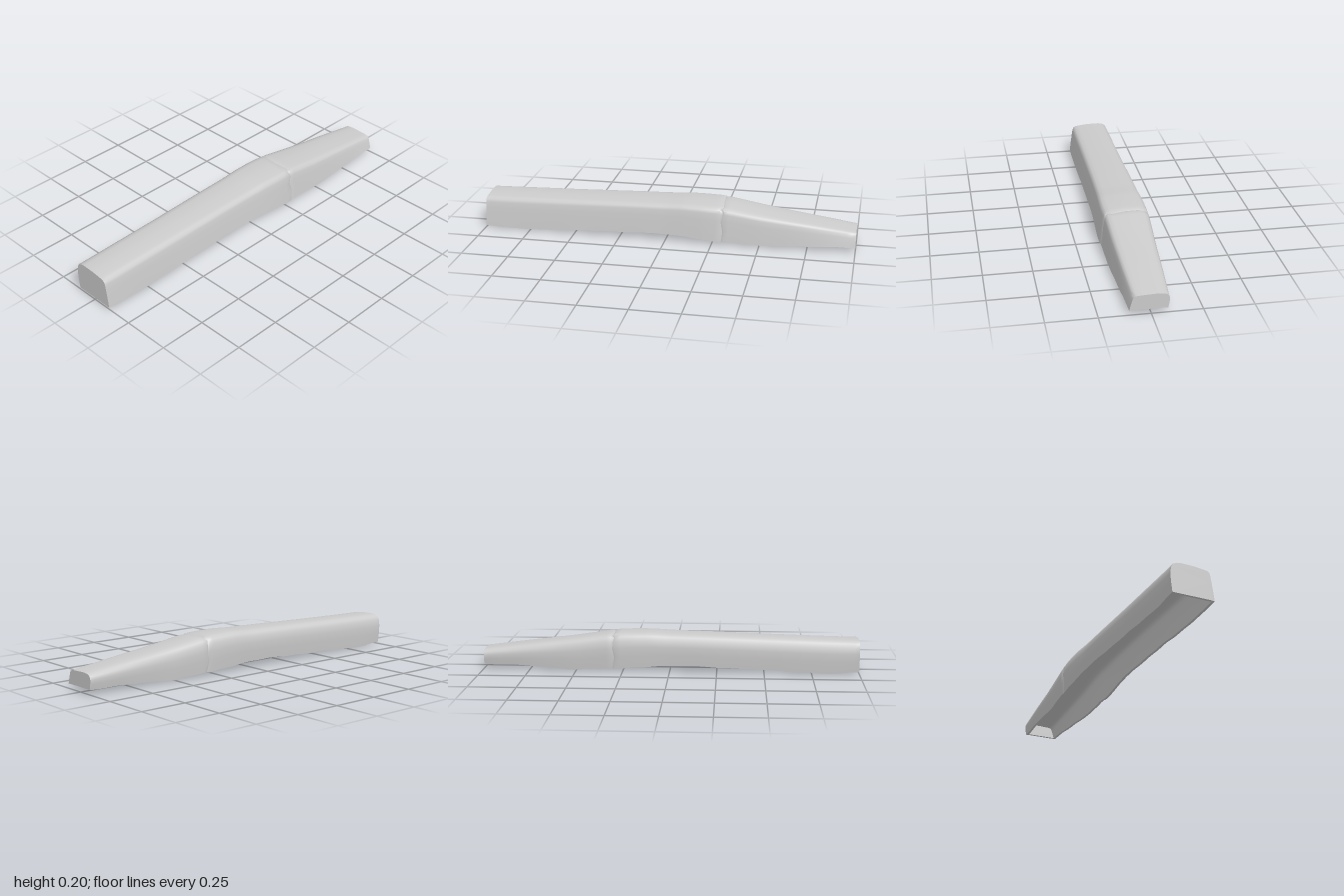
import * as THREE from 'three';
import { toCreasedNormals } from 'three/addons/utils/BufferGeometryUtils.js';

const WALL = 0.013;
const SEAM = 0.3;
const grey = new THREE.MeshStandardMaterial({ color: 0xcccccc });

// Cross-section stations: x, top y, rim y, front z, back z
const STATIONS = [
  [-1.0, 0.175, 0.012, 0.108, -0.122],
  [-0.9, 0.177, 0.003, 0.110, -0.123],
  [-0.7, 0.182, 0.008, 0.111, -0.124],
  [-0.5, 0.187, 0.018, 0.113, -0.124],
  [-0.2, 0.196, 0.032, 0.117, -0.126],
  [0.0, 0.201, 0.036, 0.121, -0.127],
  [0.1, 0.207, 0.031, 0.126, -0.130],
  [0.2, 0.206, 0.025, 0.129, -0.132],
  [0.27, 0.204, 0.014, 0.127, -0.131],
  [0.33, 0.197, 0.018, 0.124, -0.129],
  [0.5, 0.171, 0.006, 0.122, -0.119],
  [0.6, 0.157, 0.013, 0.119, -0.112],
  [0.75, 0.138, 0.021, 0.115, -0.104],
  [1.0, 0.105, 0.027, 0.105, -0.088],
];

function sample(x) {
  let k = 0;
  while (k < STATIONS.length - 2 && x > STATIONS[k + 1][0]) k++;
  const a = STATIONS[k], b = STATIONS[k + 1];
  const t = (x - a[0]) / (b[0] - a[0]);
  return a.map((v, i) => v + (b[i] - v) * t);
}

// Outer and inner arch at x, as [z, y] from the front rim over the top to the back rim
function section(x) {
  const [, top, bot, zf, zb] = sample(x);
  const h = top - bot, s = h / 0.17;
  const outer = [
    [zf, bot],
    [zf - 0.006, bot + 0.3 * h],
    [zf - 0.013, bot + 0.6 * h],
    [zf - 0.018, top - 0.036 * s],
    [zf - 0.023, top - 0.02 * s],
    [zf - 0.034, top - 0.011 * s],
    [zf - 0.055, top - 0.007 * s],
    [0, top - 0.001],
    [zb + 0.055, top],
    [zb + 0.032, top - 0.004 * s],
    [zb + 0.014, top - 0.014 * s],
    [zb + 0.004, top - 0.034 * s],
    [zb, bot + 0.6 * h],
    [zb + 0.002, bot + 0.35 * h],
    [zb + 0.008, bot],
  ];
  const mid = (zf + zb) / 2, half = (zf - zb) / 2;
  const shrink = (t) => outer.map(([z, y]) =>
    [mid + (z - mid) * (1 - t / half), bot + (y - bot) * (1 - t / h)]);
  // shallow V-groove where the two parts meet
  const groove = Math.abs(x - SEAM) < 0.001 ? 0.004 : 0;
  return { outer: groove ? shrink(groove) : outer, inner: shrink(WALL) };
}

// Uneven seam line, fading out along x
const seamShift = (x, j) =>
  Math.max(0, 1 - Math.abs(x - SEAM) / 0.03) * 0.007 * Math.sin(j * 2.3);

// Lofted thin shell through the given x positions, open underneath
function shell(name, xs) {
  const pos = [], index = [];
  let n = 0;
  xs.forEach((x) => {
    const { outer, inner } = section(x);
    const last = outer.length - 1;
    const loop = [...outer, ...inner.reverse()];
    n = loop.length;
    loop.forEach(([z, y], k) => {
      const j = k > last ? n - 1 - k : k;
      const rim = j === 0 || j === last;
      const chip = rim ? 0.003 * Math.sin(x * 23 + j) * Math.sin(x * 9) : 0;
      pos.push(x + seamShift(x, j), Math.max(0, y + chip), z);
    });
  });
  for (let i = 0; i < xs.length - 1; i++) {
    for (let j = 0; j < n; j++) {
      const a = i * n + j, b = i * n + (j + 1) % n, c = b + n, d = a + n;
      index.push(a, d, c, a, c, b);
    }
  }
  // edge strips between outer and inner arch at both ends
  const e = (xs.length - 1) * n;
  for (let j = 0; j < n / 2 - 1; j++) {
    const o = j, p = j + 1, q = n - 2 - j, r = n - 1 - j;
    index.push(o, p, q, o, q, r);
    index.push(e + o, e + q, e + p, e + o, e + r, e + q);
  }
  const geo = new THREE.BufferGeometry();
  geo.setAttribute('position', new THREE.Float32BufferAttribute(pos, 3));
  geo.setIndex(index);
  const mesh = new THREE.Mesh(toCreasedNormals(geo, 0.75), grey);
  mesh.name = name;
  return mesh;
}

// Flat plate closing one end, fitted inside the shell
function endWall(name, x, xStart) {
  const shape = new THREE.Shape(section(x).inner.map(([z, y]) => new THREE.Vector2(-z, y)));
  const geo = new THREE.ExtrudeGeometry(shape, { depth: WALL, bevelEnabled: false });
  geo.rotateY(Math.PI / 2).translate(xStart, 0, 0);
  const mesh = new THREE.Mesh(geo, grey);
  mesh.name = name;
  return mesh;
}

function range(a, b, count) {
  return Array.from({ length: count + 1 }, (_, i) => a + ((b - a) * i) / count);
}

export function createModel() {
  const group = new THREE.Group();
  group.name = 'hollowCover';
  group.add(
    shell('mainCover', [...range(-1, SEAM - 0.01, 48), SEAM]),
    shell('taperedCover', [SEAM, ...range(SEAM + 0.01, 1, 28)]),
    endWall('wideEndWall', -1, -1),
    endWall('narrowEndWall', 1, 1 - WALL),
  );
  return group;
}
